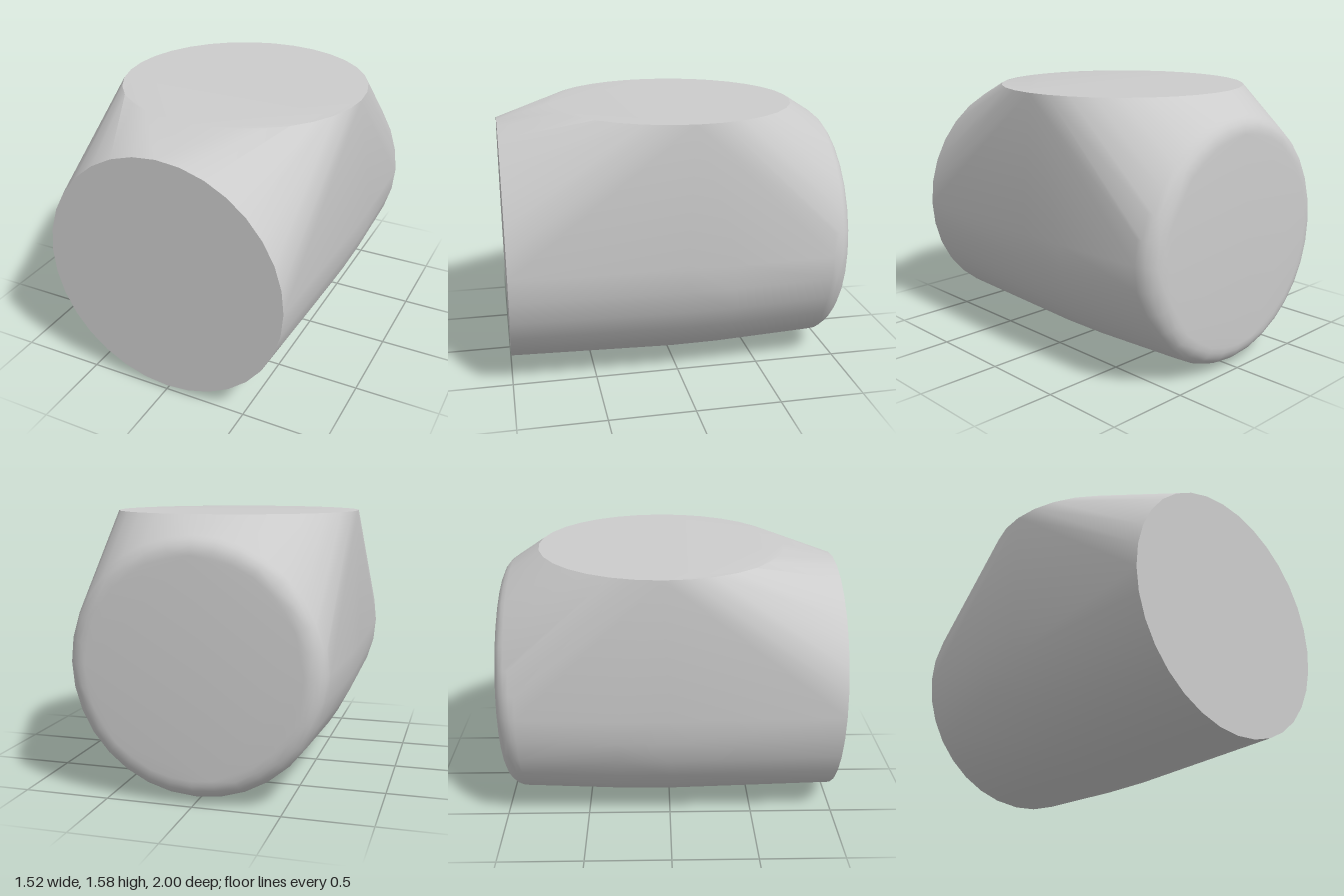
import * as THREE from 'three';
import { ConvexGeometry } from 'three/addons/geometries/ConvexGeometry.js';
import { toCreasedNormals } from 'three/addons/utils/BufferGeometryUtils.js';

const SIDES = 32;
const AXIS_Y = 0.765;

export function createModel() {
  const group = new THREE.Group();
  const grey = new THREE.MeshStandardMaterial({ color: 0xcccccc });
  grey.name = 'light grey';

  const points = [];
  const ring = (radius, place) => {
    for (let i = 0; i < SIDES; i++) {
      const a = (i / SIDES) * Math.PI * 2;
      points.push(place(radius * Math.sin(a), radius * Math.cos(a)));
    }
  };
  // Upright ring around the horizontal axis
  const section = (z, radius) => ring(radius, (x, y) => new THREE.Vector3(x, AXIS_Y + y, z));

  // Front face and slightly swollen middle
  section(1, 0.735);
  section(0, 0.761);
  section(-0.3, 0.758);

  // Rounded rim of the back face
  const bevel = 0.12, steps = 6;
  for (let i = 0; i <= steps; i++) {
    const a = (i / steps) * Math.PI / 2;
    section(-1 + bevel - bevel * Math.sin(a), 0.735 - bevel + bevel * Math.cos(a));
  }

  // Flat round top face
  ring(0.735, (x, z) => new THREE.Vector3(x, 1.585, -0.045 + z));

  // Skin stretched over all the rings, smooth apart from the face rims
  const body = new THREE.Mesh(toCreasedNormals(new ConvexGeometry(points), 0.56), grey);
  body.name = 'elbowBody';
  group.add(body);
  return group;
}
